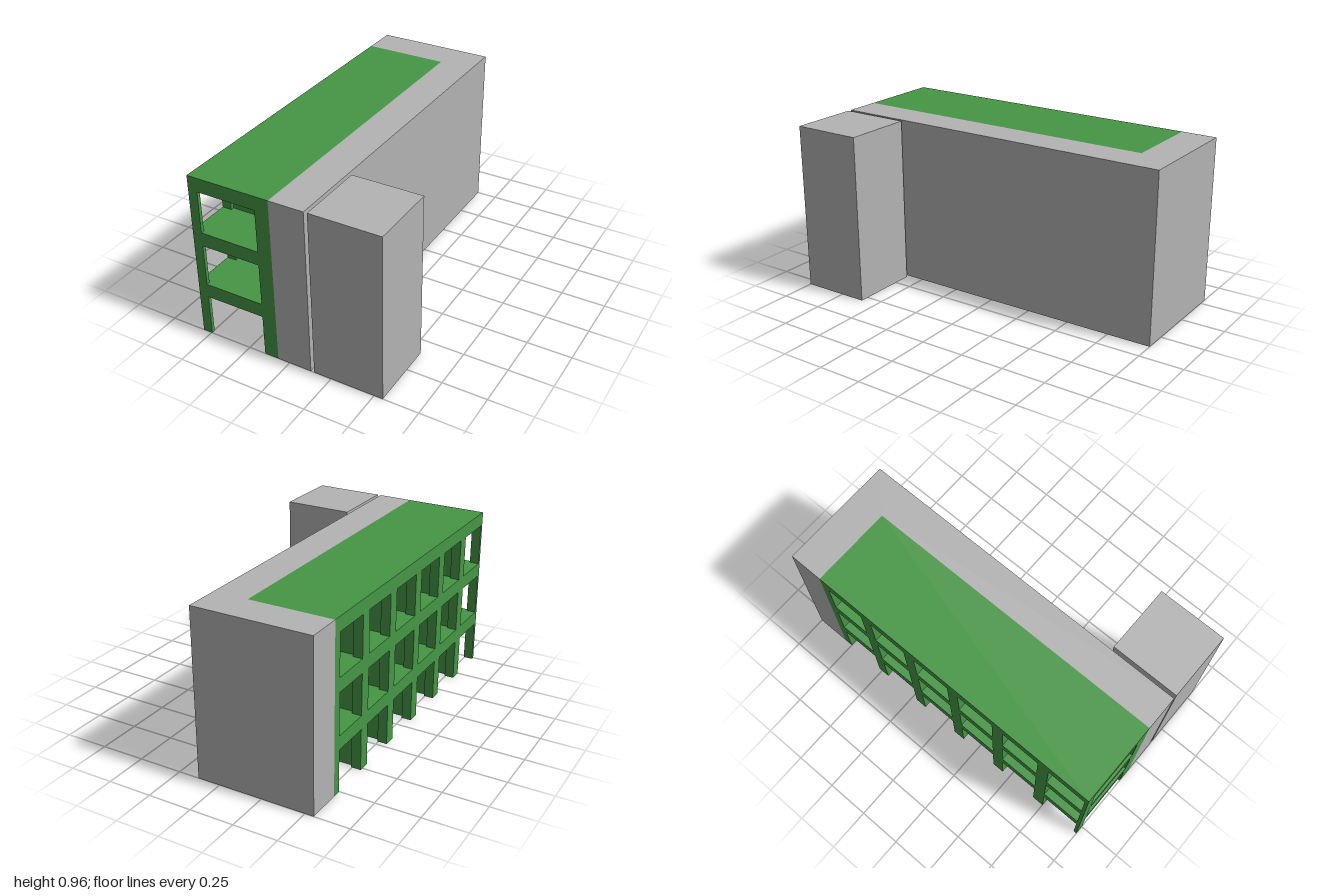
import * as THREE from 'three';

export function createModel() {
  const model = new THREE.Group();
  const grey = new THREE.MeshStandardMaterial({ color: 0xb3b3b3 });
  grey.name = 'concreteGrey';
  const green = new THREE.MeshStandardMaterial({ color: 0x459645 });
  green.name = 'frameGreen';

  const HEIGHT = 0.96, STOREY = 0.32, CLEAR = 0.24;
  const X0 = -0.55, X1 = -0.07, Z0 = -0.8, Z1 = 1;

  // Box given by its two opposite corners
  function box(name, material, parent, x0, x1, y0, y1, z0, z1) {
    const mesh = new THREE.Mesh(new THREE.BoxGeometry(x1 - x0, y1 - y0, z1 - z0), material);
    mesh.position.set((x0 + x1) / 2, (y0 + y1) / 2, (z0 + z1) / 2);
    mesh.name = name;
    parent.add(mesh);
  }

  // L-shaped solid block: plan drawn as (x, -z), then stood upright
  const plan = new THREE.Shape([
    [X0, 1], [X0, 0.8], [X1, 0.8], [X1, -1], [0.13, -1], [0.13, 1],
  ].map(([x, y]) => new THREE.Vector2(x, y)));
  const blockGeometry = new THREE.ExtrudeGeometry(plan, { depth: HEIGHT, bevelEnabled: false });
  blockGeometry.rotateX(-Math.PI / 2);
  const block = new THREE.Mesh(blockGeometry, grey);
  block.name = 'mainBlock';
  model.add(block);

  // Separate corner tower
  box('tower', grey, model, 0.15, 0.55, 0, HEIGHT, 0.6, 1);

  // Open frame: three storeys of six bays
  const BAYS = 6, PITCH = (Z1 - Z0) / BAYS, WALL = 0.03, POST = 0.02;
  const OUTER = -0.495, INNER = -0.152;
  for (let s = 0; s < 3; s++) {
    const storey = new THREE.Group();
    storey.name = 'storey' + (s + 1);
    model.add(storey);
    const y0 = s * STOREY, y1 = y0 + CLEAR;
    box('slab', green, storey, X0, X1, y1, y0 + STOREY, Z0, Z1);
    for (let b = 0; b < BAYS; b++) {
      const z = Z0 + b * PITCH;
      box('partition', green, storey, X0, X1, y0, y1, z, z + WALL);
      // Posts at both ends of the bay, outside and inside
      for (const pz of [z + WALL, z + PITCH - POST]) {
        box('outerPost', green, storey, X0, OUTER, y0, y1, pz, pz + POST);
        box('innerPost', green, storey, INNER, X1, y0, y1, pz, pz + POST);
      }
    }
  }
  return model;
}
